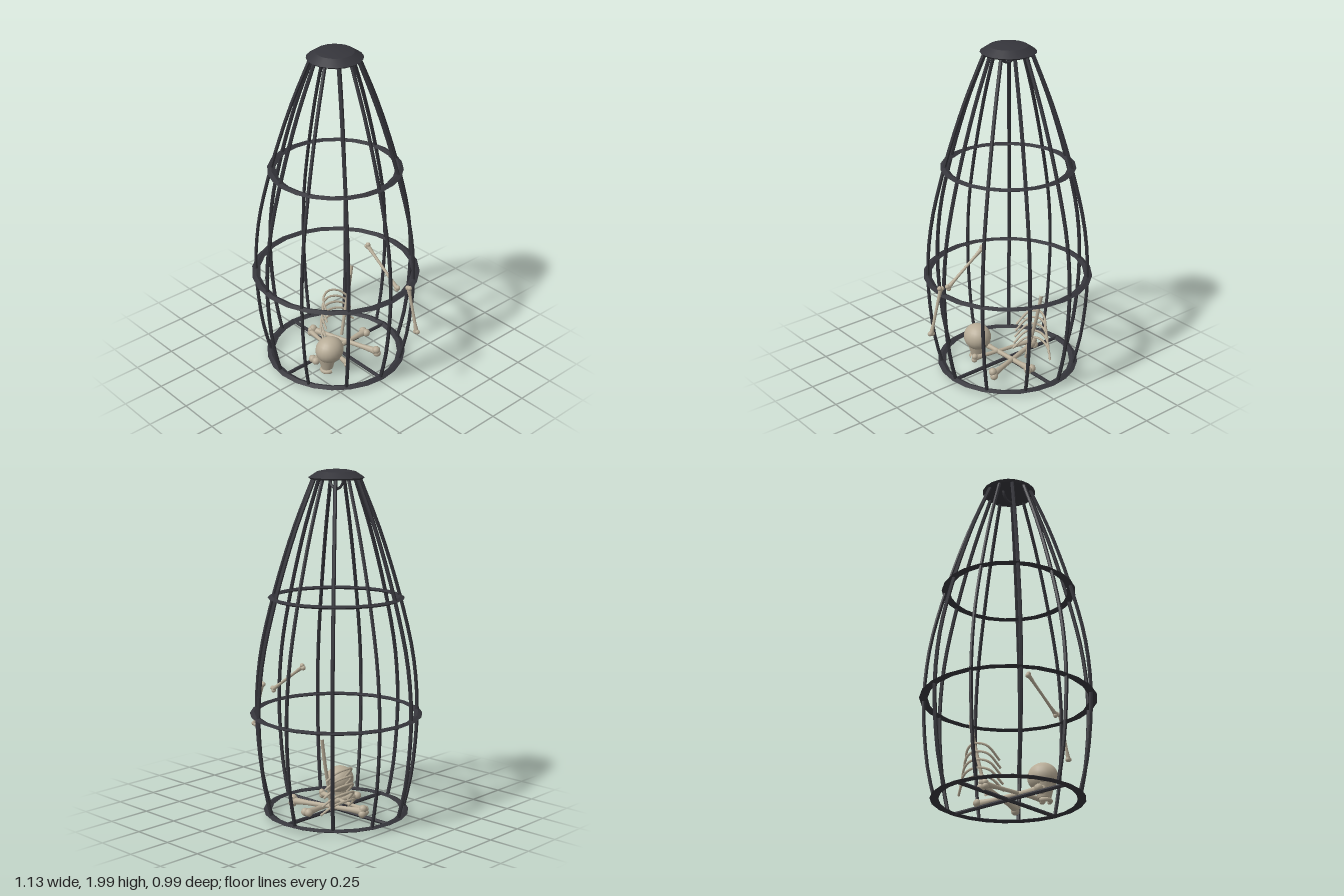
import * as THREE from 'three';
import { toCreasedNormals } from 'three/addons/utils/BufferGeometryUtils.js';

const V = (x, y, z) => new THREE.Vector3(x, y, z);

export function createModel() {
  const model = new THREE.Group();
  const iron = new THREE.MeshStandardMaterial({ color: 0x35353b });
  const bone = new THREE.MeshStandardMaterial({ color: 0xb8ad98 });
  iron.name = 'dark iron';
  bone.name = 'old bone';

  const add = (parent, name, geometry, material) => {
    const mesh = new THREE.Mesh(geometry, material);
    mesh.name = name;
    parent.add(mesh);
    return mesh;
  };
  const flat = (geometry) => toCreasedNormals(geometry, 0.3);

  // ---- Cage ----
  const cage = new THREE.Group();
  cage.name = 'cage';
  cage.position.x = -0.07;
  model.add(cage);

  // Upright bars, bulging low and closing in under the cap
  const profile = [[0.395, 0.03], [0.435, 0.2], [0.46, 0.4], [0.47, 0.6], [0.461, 0.8],
    [0.433, 1.0], [0.365, 1.28], [0.3, 1.5], [0.232, 1.7], [0.13, 1.955]];
  const barPath = new THREE.CatmullRomCurve3(profile.map(([r, y]) => V(r, y, 0)));
  const barGeometry = flat(new THREE.TubeGeometry(barPath, 20, 0.011, 6));
  const barCount = 11;
  for (let i = 0; i < barCount; i++) {
    add(cage, 'bar', barGeometry, iron).rotation.y = (i / barCount) * Math.PI * 2;
  }

  // Hoops with a flattened diamond section
  for (const [name, radius, y] of [['baseHoop', 0.398, 0.035], ['middleHoop', 0.472, 0.612], ['upperHoop', 0.363, 1.283]]) {
    const g = new THREE.TorusGeometry(radius, 0.024, 4, 24);
    g.rotateX(Math.PI / 2).scale(1, 0.45, 1);
    add(cage, name, flat(g), iron).position.y = y;
  }

  // Crossed floor bars
  for (const angle of [0, Math.PI / 2]) {
    const g = new THREE.CylinderGeometry(0.011, 0.011, 0.8, 6);
    g.rotateZ(Math.PI / 2).rotateY(angle);
    add(cage, 'floorBar', flat(g), iron).position.y = 0.035;
  }

  // Cap and the hanging ring beneath it
  const capProfile = [[0, 1.943], [0.145, 1.945], [0.158, 1.955], [0.143, 1.965], [0.108, 1.988], [0.06, 1.998], [0, 2]];
  add(cage, 'cap', flat(new THREE.LatheGeometry(capProfile.map(([r, y]) => new THREE.Vector2(r, y)), 20)), iron);
  add(cage, 'hangingRing', new THREE.TorusGeometry(0.05, 0.008, 6, 20), iron).position.y = 1.942;

  // ---- Bones ----
  const remains = new THREE.Group();
  remains.name = 'bones';
  model.add(remains);

  // Long bone: waisted shaft with a pair of knuckles at both ends
  function longBone(name, a, b, r, knob) {
    const group = new THREE.Group();
    group.name = name;
    const length = a.distanceTo(b);
    const shaft = [[r * 1.5, -0.5], [r, -0.3], [r * 0.9, 0], [r, 0.3], [r * 1.5, 0.5]];
    add(group, 'shaft', new THREE.LatheGeometry(shaft.map(([x, t]) => new THREE.Vector2(x, t * length)), 10), bone);
    for (const end of [-1, 1]) for (const side of [-1, 1]) {
      add(group, 'knuckle', new THREE.SphereGeometry(knob, 10, 8), bone)
        .position.set(side * knob * 0.6, end * length / 2, 0);
    }
    group.position.copy(a).add(b).multiplyScalar(0.5);
    group.quaternion.setFromUnitVectors(V(0, 1, 0), b.clone().sub(a).normalize());
    remains.add(group);
  }
  longBone('thighBone', V(0.15, 0.065, -0.135), V(-0.28, 0.065, 0.0), 0.015, 0.024);
  longBone('thighBone', V(-0.055, 0.062, -0.225), V(-0.04, 0.062, 0.2), 0.015, 0.024);
  longBone('shinBone', V(0.12, 0.065, 0.08), V(-0.28, 0.065, 0.025), 0.012, 0.018);
  longBone('upperArmBone', V(0.155, 0.853, -0.045), V(0.405, 0.68, -0.045), 0.009, 0.014);
  longBone('forearmBone', V(0.473, 0.705, -0.068), V(0.545, 0.445, -0.068), 0.009, 0.014);

  // Skull: rounded cranium, cheeks and jaw
  const skull = new THREE.Group();
  skull.name = 'skull';
  skull.position.set(0.042, 0.157, 0.15);
  remains.add(skull);
  add(skull, 'cranium', new THREE.SphereGeometry(0.08, 20, 14), bone).scale.set(1, 1, 1.1);
  const face = add(skull, 'face', new THREE.CylinderGeometry(0.058, 0.036, 0.085, 10), bone);
  face.position.set(-0.005, -0.08, 0.015);
  const jaw = new THREE.TorusGeometry(0.034, 0.012, 6, 12, Math.PI);
  jaw.rotateX(Math.PI / 2);
  add(skull, 'jaw', jaw, bone).position.set(-0.005, -0.138, 0.015);

  // Spine leaning up out of the rib cage
  const spinePath = new THREE.CatmullRomCurve3([
    V(-0.13, 0.06, -0.1), V(-0.14, 0.2, -0.135), V(-0.148, 0.36, -0.175), V(-0.155, 0.51, -0.206)]);
  add(remains, 'spine', new THREE.TubeGeometry(spinePath, 12, 0.01, 8), bone);

  // Ribs, widening towards the floor
  for (let i = 0; i < 5; i++) {
    const y = 0.33 - i * 0.047;
    const wide = i * 0.012;
    const path = new THREE.CatmullRomCurve3([
      V(-0.14, Math.max(y - 0.09, 0.06), 0.0 + wide * 0.7),
      V(-0.215, y - 0.02, -0.025 + wide * 0.5),
      V(-0.245, y, -0.09),
      V(-0.225, y - 0.015, -0.16 - wide * 0.7),
      V(-0.19, Math.max(y - 0.06, 0.07), -0.205 - wide)]);
    const rib = add(remains, 'rib', new THREE.TubeGeometry(path, 20, 0.007, 6), bone);
    rib.material = bone;
  }
  return model;
}
